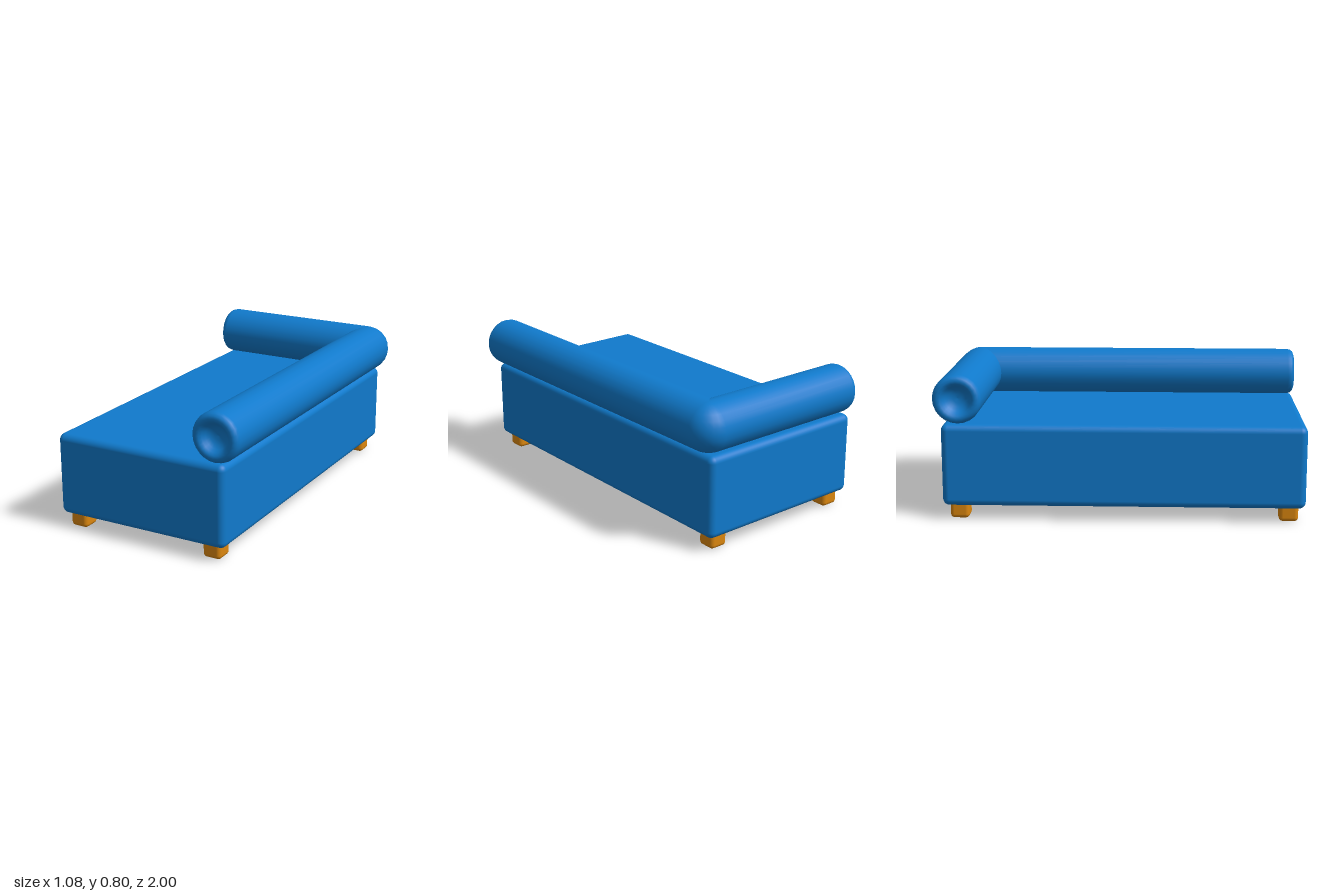
import * as THREE from 'three';
import { RoundedBoxGeometry } from 'three/addons/geometries/RoundedBoxGeometry.js';

const R = 0.133;                                        // bolster radius
const CORNER = new THREE.Vector3(0.404, 0.662, -0.867); // where the bolsters meet
const SIDES = 24;

// Round bolster along +y: open at the joint, soft rim and dimple at the far end
function bolsterGeometry(length) {
  const profile = [
    [R, 0], [R, length - 0.036], [0.128, length - 0.018], [0.118, length - 0.006],
    [0.103, length], [0.088, length - 0.005], [0.075, length - 0.017],
    [0.064, length - 0.035], [0.046, length - 0.05], [0.023, length - 0.057], [0, length - 0.059],
  ].map(([r, h]) => new THREE.Vector2(r, h));
  return new THREE.LatheGeometry(profile, SIDES);
}

export function createModel() {
  const model = new THREE.Group();
  model.name = 'chaise';

  const fabric = new THREE.MeshStandardMaterial({ color: 0x107acc });
  fabric.name = 'blue fabric';
  const wood = new THREE.MeshStandardMaterial({ color: 0xdb870f });
  wood.name = 'orange wood';

  const add = (name, geometry, material, x, y, z) => {
    const mesh = new THREE.Mesh(geometry, material);
    mesh.name = name;
    mesh.position.set(x, y, z);
    model.add(mesh);
    return mesh;
  };

  // Upholstered base
  add('seatBase', new RoundedBoxGeometry(1.0, 0.45, 1.957, 4, 0.036), fabric, -0.041, 0.303, 0.0215);

  // Side and back bolsters, joined by a quarter ball at the outer corner
  const { x, y, z } = CORNER;
  add('sideBolster', bolsterGeometry(1 - z).rotateX(Math.PI / 2), fabric, x, y, z);
  add('backBolster', bolsterGeometry(x + 0.541).rotateZ(Math.PI / 2), fabric, x, y, z);
  add('bolsterCorner',
    new THREE.SphereGeometry(R, SIDES / 4, SIDES / 2, Math.PI, Math.PI / 2), fabric, x, y, z);

  // Four block feet
  const foot = new RoundedBoxGeometry(0.104, 0.1, 0.104, 3, 0.022);
  for (const fx of [-0.453, 0.366]) {
    for (const fz of [-0.869, 0.912]) add('foot', foot, wood, fx, 0.05, fz);
  }
  return model;
}
